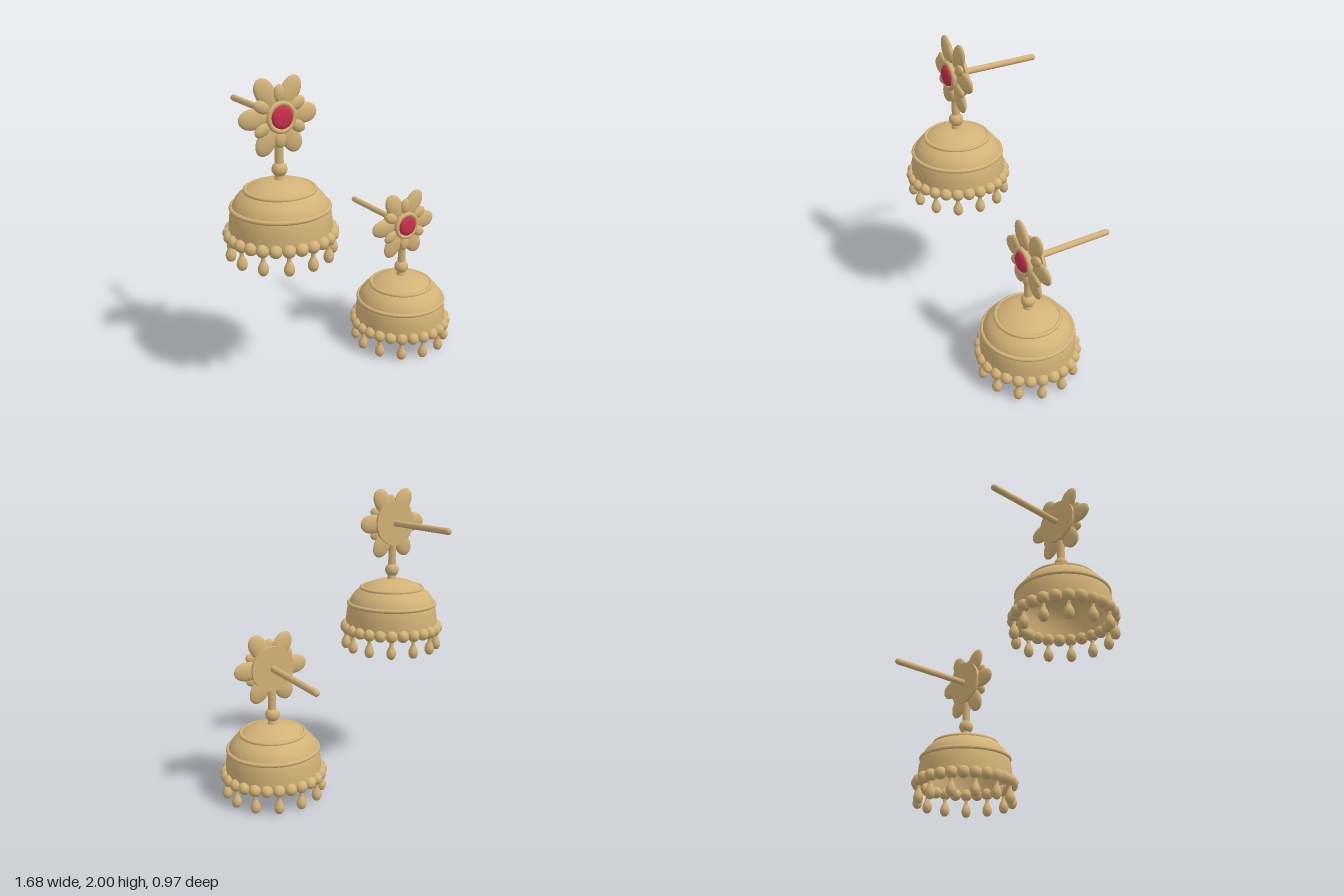
import * as THREE from 'three';

const gold = new THREE.MeshStandardMaterial({ color: 0xd2b277, side: THREE.DoubleSide });
gold.name = 'gold';
const ruby = new THREE.MeshStandardMaterial({ color: 0xc92f4b });
ruby.name = 'ruby red';

function add(parent, name, geometry, material = gold, x = 0, y = 0, z = 0) {
  const mesh = new THREE.Mesh(geometry, material);
  mesh.name = name;
  mesh.position.set(x, y, z);
  parent.add(mesh);
  return mesh;
}

// Spline-smoothed surface of revolution, profile given as [radius, height]
function turned(points, steps = 24, segments = 48) {
  const curve = new THREE.SplineCurve(points.map(p => new THREE.Vector2(...p)));
  const profile = curve.getPoints(steps);
  profile.forEach(p => { p.x = Math.max(0, p.x); });
  return new THREE.LatheGeometry(profile, segments);
}

// Flower facing +z, centred on its own origin
function createFlower() {
  const flower = new THREE.Group();
  flower.name = 'flower';

  const backing = add(flower, 'backingDisc', new THREE.CylinderGeometry(0.15, 0.15, 0.02, 32), gold, 0, 0, -0.025);
  backing.rotation.x = Math.PI / 2;

  // Egg-shaped petals, narrower towards the centre
  const petalGeometry = (length, width, depth, taper) => {
    const g = new THREE.SphereGeometry(1, 20, 14);
    const p = g.attributes.position;
    for (let i = 0; i < p.count; i++) {
      const u = p.getX(i);
      const k = 1 + taper * u;
      p.setXYZ(i, u * length, p.getY(i) * width * k, p.getZ(i) * depth);
    }
    g.computeVertexNormals();
    return g;
  };
  const large = petalGeometry(0.105, 0.063, 0.026, 0.12);
  const small = petalGeometry(0.055, 0.036, 0.022, 0.05);
  for (let i = 0; i < 6; i++) {
    const a = i * Math.PI / 3;
    const b = a + Math.PI / 6;
    add(flower, 'largePetal', large, gold, 0.155 * Math.cos(a), 0.155 * Math.sin(a), 0.004).rotation.z = a;
    add(flower, 'smallPetal', small, gold, 0.135 * Math.cos(b), 0.135 * Math.sin(b), 0.022).rotation.z = b;
  }

  // Setting and stone
  const setting = add(flower, 'setting', new THREE.CylinderGeometry(0.085, 0.095, 0.05, 40), gold, 0, 0, 0.015);
  setting.rotation.x = Math.PI / 2;
  add(flower, 'bezel', new THREE.TorusGeometry(0.083, 0.015, 12, 40), gold, 0, 0, 0.045);
  const stone = [[0.068, 0], [0.068, 0.022], [0.06, 0.032], [0.042, 0.038], [0, 0.04]];
  const gem = add(flower, 'stone',
    new THREE.LatheGeometry(stone.map(p => new THREE.Vector2(...p)), 32), ruby, 0, 0, 0.035);
  gem.rotation.x = Math.PI / 2;
  return flower;
}

function createEarring(side) {
  const earring = new THREE.Group();
  earring.name = side > 0 ? 'leftEarring' : 'rightEarring';

  // Hollow bell: outer wall and inner lining
  const outer = [[0.322, 0.16], [0.32, 0.22], [0.314, 0.28], [0.302, 0.33], [0.275, 0.385],
    [0.23, 0.43], [0.175, 0.466], [0.1, 0.494], [0, 0.508]];
  add(earring, 'bell', turned(outer, 40, 64));
  add(earring, 'bellLining', turned(outer.map(([r, y]) => [r * 0.95, 0.16 + (y - 0.16) * 0.95]), 30, 64));
  for (const [r, y, t] of [[0.301, 0.332, 0.014], [0.212, 0.44, 0.014], [0.312, 0.165, 0.015]])
    add(earring, 'bellRing', new THREE.TorusGeometry(r, t, 10, 64), gold, 0, y, 0).rotation.x = Math.PI / 2;

  // Rim beads, with a drop hanging below every second one
  const bead = new THREE.SphereGeometry(0.041, 16, 12);
  const drop = turned([[0, 0.004], [0.02, 0.012], [0.032, 0.036], [0.031, 0.06], [0.02, 0.088],
    [0.013, 0.105], [0.013, 0.14]], 18, 16);
  const count = 26;
  for (let i = 0; i < count; i++) {
    const a = i * 2 * Math.PI / count;
    const x = -side * 0.32 * Math.cos(a), z = 0.32 * Math.sin(a);
    add(earring, 'rimBead', bead, gold, x, 0.163, z);
    if (i % 2 === 0) add(earring, 'drop', drop, gold, x, 0, z);
  }

  // Connector between bell and flower
  add(earring, 'collar', new THREE.CylinderGeometry(0.026, 0.034, 0.04, 24), gold, 0, 0.52, 0);
  add(earring, 'connectorBead', new THREE.SphereGeometry(0.048, 24, 16), gold, 0, 0.566, 0);
  add(earring, 'stem', new THREE.CylinderGeometry(0.027, 0.027, 0.26, 24), gold, 0, 0.72, 0);

  const flower = createFlower();
  flower.position.y = 0.89;
  earring.add(flower);

  // Ear post running backwards with a rounded tip
  const post = add(earring, 'post', new THREE.CapsuleGeometry(0.021, 0.56, 8, 20), gold, 0, 0.89, -0.314);
  post.rotation.x = Math.PI / 2;

  earring.position.set(side * 0.477, side > 0 ? 0 : 0.885, 0.128);
  return earring;
}

export function createModel() {
  const model = new THREE.Group();
  model.name = 'earrings';
  for (const side of [-1, 1]) model.add(createEarring(side));
  return model;
}
